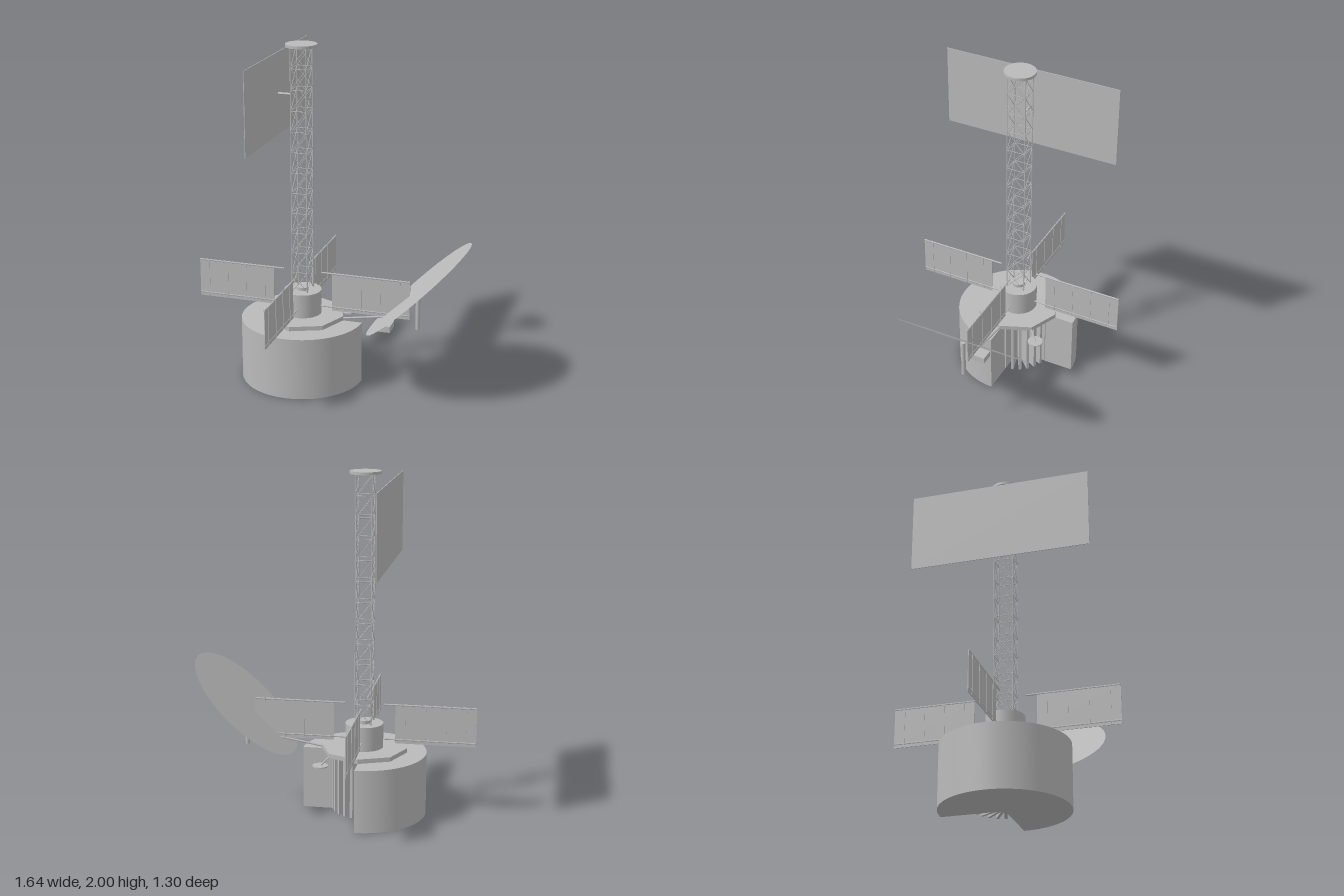
import * as THREE from 'three';
import { toCreasedNormals } from 'three/addons/utils/BufferGeometryUtils.js';

export function createModel() {
  const model = new THREE.Group();
  const craft = new THREE.Group();
  craft.name = 'spacecraft';
  craft.position.x = -0.17; // mast axis
  model.add(craft);

  const grey = new THREE.MeshStandardMaterial({ color: 0xbababa });
  grey.name = 'grey';
  const greySheet = grey.clone();
  greySheet.name = 'grey sheet';
  greySheet.side = THREE.DoubleSide;

  function add(parent, name, geometry, x = 0, y = 0, z = 0, material = grey) {
    const mesh = new THREE.Mesh(geometry, material);
    mesh.name = name;
    mesh.position.set(x, y, z);
    parent.add(mesh);
    return mesh;
  }
  const box = (w, h, d) => new THREE.BoxGeometry(w, h, d);
  const drum = (r, h, n = 48) => new THREE.CylinderGeometry(r, r, h, n);

  // Thin round rod between two points
  function rod(parent, name, a, b, r, sides = 6) {
    const from = new THREE.Vector3(...a), to = new THREE.Vector3(...b);
    const dir = to.clone().sub(from);
    const mesh = add(parent, name, drum(r, dir.length(), sides));
    mesh.position.copy(from).add(to).multiplyScalar(0.5);
    mesh.quaternion.setFromUnitVectors(new THREE.Vector3(0, 1, 0), dir.normalize());
    return mesh;
  }

  // Main body: drum with one quarter cut away
  const R = 0.363;
  const sector = new THREE.Shape();
  sector.moveTo(0, 0);
  sector.lineTo(0, R);
  sector.absarc(0, 0, R, Math.PI / 2, Math.PI * 2, false);
  sector.lineTo(0, 0);
  const bodyGeo = new THREE.ExtrudeGeometry(sector, { depth: 0.37, bevelEnabled: false, curveSegments: 54 });
  bodyGeo.rotateX(-Math.PI / 2);
  add(craft, 'body', toCreasedNormals(bodyGeo, 0.5));

  // Finned core standing in the open quarter
  const core = new THREE.Group();
  core.name = 'finnedCore';
  craft.add(core);
  add(core, 'coreColumn', drum(0.06, 0.355, 24), 0, 0.1925, 0);
  for (let i = 0; i < 7; i++) {
    const pivot = new THREE.Group();
    pivot.name = 'finMount';
    pivot.rotation.y = (i / 6) * (Math.PI / 2);
    add(pivot, 'fin', box(0.18, 0.355, 0.016), 0.095, 0.1925, 0);
    core.add(pivot);
  }

  // Octagonal deck and mast base
  add(craft, 'deck', toCreasedNormals(drum(0.25, 0.026, 8), 0.3), 0, 0.384, 0);
  add(craft, 'mastBase', drum(0.11, 0.143), 0, 0.4685, 0);
  add(craft, 'mastCollar', drum(0.037, 0.02, 24), 0, 0.549, 0);

  // Lattice mast
  const mast = new THREE.Group();
  mast.name = 'mast';
  craft.add(mast);
  const hx = 0.046, hz = 0.056, y0 = 0.54, y1 = 1.985, bays = 12;
  const corners = [[hx, hz], [hx, -hz], [-hx, -hz], [-hx, hz]];
  corners.forEach(([ax, az], i) => {
    const [bx, bz] = corners[(i + 1) % 4];
    rod(mast, 'mastLeg', [ax, y0, az], [ax, y1, az], 0.0035);
    for (let k = 0; k < bays; k++) {
      const lo = y0 + ((y1 - y0) * k) / bays;
      const hi = y0 + ((y1 - y0) * (k + 1)) / bays;
      rod(mast, 'mastRung', [ax, hi, az], [bx, hi, bz], 0.0025, 4);
      rod(mast, 'mastBrace', [ax, lo, az], [bx, hi, bz], 0.002, 4);
      rod(mast, 'mastBrace', [ax, hi, az], [bx, lo, bz], 0.002, 4);
    }
  });
  add(craft, 'mastCap', drum(0.09, 0.016), 0, 1.992, 0);

  // Four ribbed panels around the base
  for (let i = 0; i < 4; i++) {
    const wing = new THREE.Group();
    wing.name = 'sidePanel';
    wing.rotation.y = (i * Math.PI) / 2;
    craft.add(wing);
    add(wing, 'panelSheet', box(0.47, 0.235, 0.004), 0.415, 0.5425, 0);
    rod(wing, 'panelTopRod', [0.115, 0.655, 0], [0.65, 0.655, 0], 0.005);
    rod(wing, 'panelLowerRod', [0.1, 0.447, 0], [0.65, 0.447, 0], 0.005);
    for (let k = 0; k < 4; k++) {
      add(wing, 'panelRib', box(0.006, 0.23, 0.01), 0.18 + 0.47 * (0.125 + 0.25 * k), 0.5425, 0);
    }
  }

  // Tall flat panel beside the mast
  add(craft, 'upperPanel', box(0.004, 0.475, 1.06), -0.14, 1.7075, 0);
  rod(craft, 'upperPanelArm', [-0.14, 1.708, 0], [-0.066, 1.708, 0], 0.0075, 12);

  // Tilted disc with its support
  const dish = new THREE.Group();
  dish.name = 'dishAssembly';
  model.add(dish);
  const disc = add(dish, 'dish', new THREE.CircleGeometry(0.4, 64).rotateX(-Math.PI / 2), 0.53, 0.6225, 0, greySheet);
  disc.rotation.z = Math.atan2(0.555, 0.58);
  add(dish, 'dishPost', drum(0.013, 0.232, 16), 0.528, 0.489, 0);
  add(dish, 'dishBox', box(0.077, 0.037, 0.1), 0.337, 0.3675, 0);
  rod(dish, 'dishArm', [0.07, 0.383, 0], [0.335, 0.427, 0], 0.006);

  // Small disc hung from a deck corner
  add(model, 'smallDisc', drum(0.045, 0.006, 32), 0.05, 0.338, -0.222);
  rod(model, 'smallDiscStrut', [0.005, 0.378, -0.175], [0.05, 0.338, -0.222], 0.005);

  return model;
}
